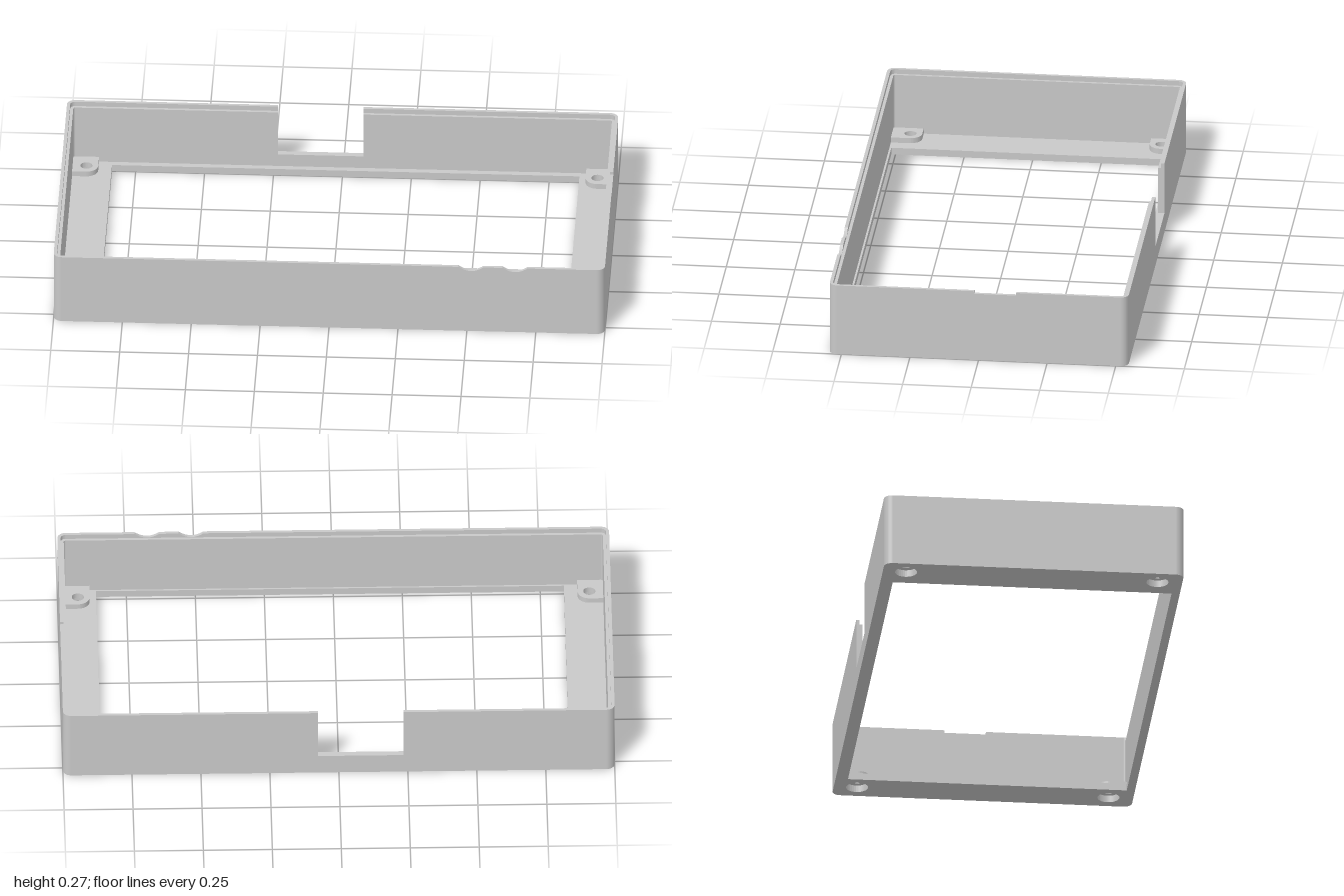
import * as THREE from 'three';

const W = 1, D = 0.545, H = 0.271, R = 0.03;     // half width, half depth, height, corner radius
const WALL = 0.023, LIP = 0.012;                 // thickness of wall and of rim lip
const FLOOR = 0.026, SILL = 0.075, LEDGE = 0.253; // heights of the levels

// Corner signs [x, z], walking from the back right around to the back left
const CORNERS = [[1, -1], [1, 1], [-1, 1], [-1, -1]];

// Rounded corner as points in plan (x, -z), moved inwards by inset
function cornerArc(i, inset) {
  const [sx, sz] = CORNERS[i], r = Math.max(R - inset, 0.004), pts = [], steps = 12;
  for (let k = 0; k <= steps; k++) {
    const a = Math.PI / 2 - (i + k / steps) * Math.PI / 2;
    pts.push(new THREE.Vector2(
      sx * (W - inset - r) + r * Math.cos(a),
      -sz * (D - inset - r) + r * Math.sin(a)));
  }
  return pts;
}

const loop = inset => [0, 1, 2, 3].flatMap(i => cornerArc(i, inset));

// Point on one side: back, right or front, at a coordinate along it
function sidePoint([side, c], inset) {
  if (side === 'right') return new THREE.Vector2(W - inset, -c);
  return new THREE.Vector2(c, (side === 'back' ? 1 : -1) * (D - inset));
}

// Open strip of wall from start, around the listed corners, to end
function strip(start, corners, end, t) {
  const line = inset => [sidePoint(start, inset),
    ...corners.flatMap(i => cornerArc(i, inset)), sidePoint(end, inset)];
  return new THREE.Shape([...line(0), ...line(t).reverse()]);
}

function circle(x, z, r) {
  const p = new THREE.Path();
  p.absarc(x, -z, r, 0, Math.PI * 2, true);
  return p;
}

// Extrude with the outline wound anticlockwise, so that holes face inwards
function extrude(outline, depth) {
  const { shape: pts, holes } = outline.extractPoints(16);
  if (THREE.ShapeUtils.isClockWise(pts)) pts.reverse();
  const shape = new THREE.Shape(pts);
  shape.holes = holes.map(h => new THREE.Path(h));
  return new THREE.ExtrudeGeometry(shape, { depth, bevelEnabled: false });
}

export function createModel() {
  const group = new THREE.Group();
  const grey = new THREE.MeshStandardMaterial({ color: 0xc8c8c8 });
  grey.name = 'lightGrey';

  const add = (name, geometry) => {
    const mesh = new THREE.Mesh(geometry, grey);
    mesh.name = name;
    group.add(mesh);
  };
  // Extrude a plan shape between two heights
  const level = (name, outline, y0, y1) =>
    add(name, extrude(outline, y1 - y0).rotateX(-Math.PI / 2).translate(0, y0, 0));

  const screws = CORNERS.map(([sx, sz]) => [sx * 0.927, sz > 0 ? 0.455 : -0.46, sx, sz]);

  // Floor frame with the display opening and screw head recesses
  const floor = new THREE.Shape(loop(0));
  floor.holes.push(new THREE.Path([[-0.836, 0.5], [0.86, 0.5], [0.86, -0.515], [-0.836, -0.515]]
    .map(([x, y]) => new THREE.Vector2(x, y))));
  for (const [x, z] of screws) floor.holes.push(circle(x, z, 0.04));
  level('floorFrame', floor, 0, FLOOR);

  // Screw pads, rounded around the screw hole
  for (const [x, z, sx, sz] of screws) {
    const ox = sx * (W - 0.015), oy = -sz * (D - 0.015), r = 0.043;
    const pts = [new THREE.Vector2(ox, oy)];
    for (let k = 0; k <= 10; k++) {
      const a = k / 10 * Math.PI / 2;
      pts.push(new THREE.Vector2(x - sx * r * Math.cos(a), -z + sz * r * Math.sin(a)));
    }
    pts.splice(1, 0, new THREE.Vector2(x - sx * r, oy));
    pts.push(new THREE.Vector2(ox, -z + sz * r));
    const pad = new THREE.Shape(pts);
    pad.holes.push(circle(x, z, 0.022));
    level('screwPad', pad, FLOOR, FLOOR + 0.02);
  }

  // Wall: closed below the back cutout, open above it
  const lower = new THREE.Shape(loop(0));
  lower.holes.push(new THREE.Path(loop(WALL)));
  level('lowerWall', lower, FLOOR, SILL);
  const cutA = ['back', 0.075], cutB = ['back', -0.235];
  level('upperWall', strip(cutA, [0, 1, 2, 3], cutB, WALL), SILL, LEDGE);

  // Rim lip, interrupted by the side slot and the two front finger notches
  const notches = [0.515, 0.675], half = 0.045;
  const slotA = ['right', -0.137], slotB = ['right', 0.015];
  const lipParts = [
    [cutA, [0], slotA],
    [slotB, [1], ['front', notches[1] + half]],
    [['front', notches[1] - half], [], ['front', notches[0] + half]],
    [['front', notches[0] - half], [2, 3], cutB],
  ];
  for (const [a, corners, b] of lipParts) level('rimLip', strip(a, corners, b, LIP), LEDGE, H);
  level('sideSlotSill', strip(slotA, [], slotB, LIP), LEDGE, 0.261);

  // Shallow round dips in the front lip
  for (const x of notches) {
    const dip = new THREE.Shape();
    dip.moveTo(-half, LEDGE - H);
    dip.lineTo(half, LEDGE - H);
    dip.lineTo(half, 0);
    dip.quadraticCurveTo(0, -0.033, -half, 0);
    dip.closePath();
    add('fingerNotch', extrude(dip, LIP).translate(x, H, D - LIP));
  }
  return group;
}
